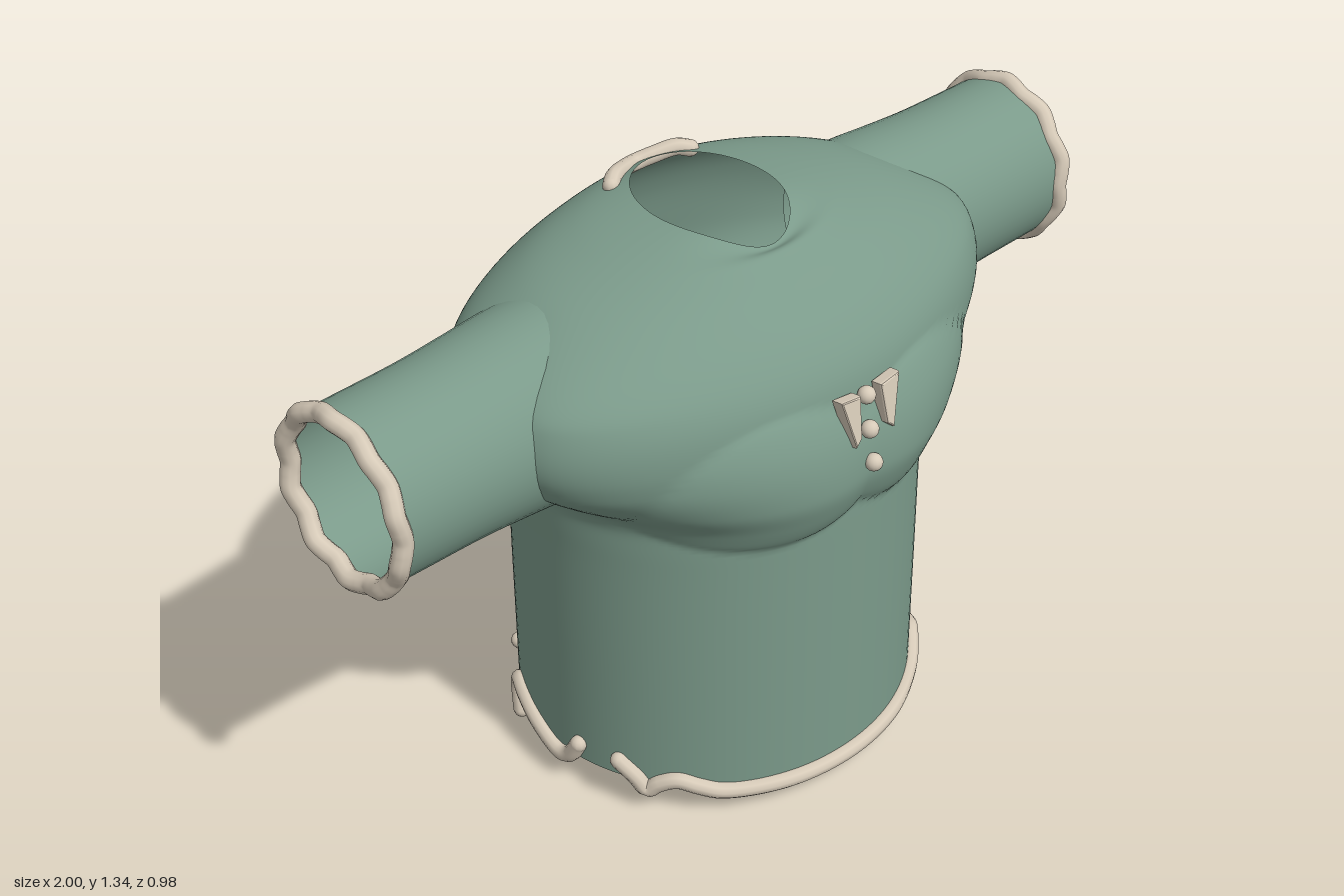
import * as THREE from 'three';

const green = new THREE.MeshStandardMaterial({ color: 0x7b9a8a, side: THREE.DoubleSide });
const cream = new THREE.MeshStandardMaterial({ color: 0xd6cab8 });
const V = (x, y, z) => new THREE.Vector3(x, y, z);
const { smoothstep } = THREE.MathUtils;

function add(parent, name, geometry, material) {
  const mesh = new THREE.Mesh(geometry, material);
  mesh.name = name;
  parent.add(mesh);
  return mesh;
}

// Surface of closed rings: point(angle, v), with an optional test that leaves quads out
function loft(around, along, point, skip = () => false) {
  const pos = [], index = [];
  for (let j = 0; j <= along; j++)
    for (let i = 0; i < around; i++) pos.push(...point((i / around) * Math.PI * 2, j / along).toArray());
  const at = (k) => V(pos[k * 3], pos[k * 3 + 1], pos[k * 3 + 2]);
  for (let j = 0; j < along; j++)
    for (let i = 0; i < around; i++) {
      const a = j * around + i, b = j * around + ((i + 1) % around), c = a + around, d = b + around;
      const mid = at(a).add(at(d)).multiplyScalar(0.5);
      if (!skip(mid)) index.push(a, b, d, a, d, c);
    }
  const g = new THREE.BufferGeometry();
  g.setAttribute('position', new THREE.Float32BufferAttribute(pos, 3));
  g.setIndex(index);
  g.computeVertexNormals();
  return g;
}

// Rounded cord through points, with round ends when open
function cord(parent, name, points, radius, closed = false) {
  const curve = new THREE.CatmullRomCurve3(points, closed);
  const group = new THREE.Group();
  group.name = name;
  add(group, 'cord', new THREE.TubeGeometry(curve, points.length * 8, radius, 10, closed), cream);
  if (!closed)
    for (const p of [points[0], points[points.length - 1]])
      add(group, 'cordEnd', new THREE.SphereGeometry(radius, 10, 8), cream).position.copy(p);
  parent.add(group);
}

// Torso sections: height, half width, front z, back z
const sections = [
  [0.065, 0.48, 0.43, -0.45], [0.4, 0.48, 0.43, -0.45], [0.7, 0.48, 0.43, -0.452],
  [0.8, 0.49, 0.43, -0.472], [0.88, 0.55, 0.435, -0.487], [1.0, 0.615, 0.43, -0.458],
  [1.1, 0.61, 0.412, -0.43], [1.18, 0.565, 0.362, -0.39], [1.25, 0.46, 0.285, -0.33],
  [1.298, 0.31, 0.21, -0.275], [1.335, 0.145, 0.165, -0.215],
];
const heights = new THREE.CatmullRomCurve3(sections.map((s) => V(s[0], 0, 0)), false, 'catmullrom');
const sizes = new THREE.CatmullRomCurve3(sections.map((s) => V(s[1], s[2], s[3])), false, 'catmullrom');

function torsoPoint(angle, v) {
  const size = sizes.getPoint(v);
  let y = heights.getPoint(v).x;
  const c = Math.cos(angle), corner = Math.abs(c) * (1 - Math.abs(c));
  // fuller corners where the chest and back meet the sleeves
  const shoulder = smoothstep(y, 0.8, 0.95) * (1 - smoothstep(y, 1.12, 1.27));
  const x = size.x * Math.sin(angle) * (1 + (c > 0 ? 0.5 : 0.28) * corner * shoulder);
  let z = (size.y + size.z) / 2 + ((size.y - size.z) / 2) * c;
  // neckline dips at the front, hem lifts at the sides
  y -= 0.04 * Math.max(0, c) ** 4 * smoothstep(v, 0.9, 1);
  y += 0.02 * Math.sin(angle) ** 2 * (1 - smoothstep(v, 0, 0.1));
  // bust, firmer below
  if (c > 0) {
    const dx = (Math.abs(x) - 0.2) / 0.27;
    const dy = (y - 0.87) / (y < 0.87 ? 0.135 : 0.2);
    z += 0.05 * Math.max(0, 1 - dx * dx - dy * dy) ** 0.8;
  }
  return V(x, y, z);
}

// Sleeve sections: x, half height, half depth
const sleeveSections = [
  [0.45, 0.222, 0.205], [0.53, 0.218, 0.202], [0.62, 0.21, 0.197],
  [0.74, 0.202, 0.191], [0.87, 0.2, 0.189], [0.98, 0.199, 0.188],
];
const sleeveCurve = new THREE.CatmullRomCurve3(sleeveSections.map((s) => V(...s)), false, 'catmullrom');
const armY = 1.028, armZ = -0.045;

// Hem trim pieces on the left side, as [angle from the front, height]
const hem = (t, y) => V(0.485 * Math.sin(t), y, -0.008 + 0.442 * Math.cos(t));
const mirrorX = (p) => V(-p.x, p.y, p.z);
const frontHem = [[0, 0.062], [0.35, 0.062], [0.68, 0.068], [0.8, 0.085], [0.9, 0.1], [0.99, 0.085],
  [1.05, 0.064], [1.11, 0.095], [1.2, 0.13]];
const sideHem = [[1.44, 0.13], [1.5, 0.085], [1.57, 0.072], [1.77, 0.1], [1.95, 0.122], [2.06, 0.125],
  [2.1, 0.1], [2.06, 0.03]];
const backHem = [[Math.PI, 0.06], [2.8, 0.06], [2.6, 0.062], [2.47, 0.075], [2.37, 0.12]];

// Half points mirrored into one continuous strip across the centre
const strip = (half) => {
  const pts = half.map((p) => hem(...p));
  return [...pts.slice(1).reverse().map(mirrorX), ...pts];
};

export function createModel() {
  const model = new THREE.Group();
  model.name = 'sweater';

  // Torso, open at hem, neck and armholes
  const armhole = (p) => Math.abs(p.x) > 0.3 &&
    ((p.y - armY) / 0.2) ** 2 + ((p.z - armZ) / 0.186) ** 2 < 1;
  add(model, 'torso', loft(128, 120, torsoPoint, armhole), green);

  for (const side of [1, -1]) {
    const label = side > 0 ? 'left' : 'right';

    // Sleeve
    const sleeve = loft(48, 24, (a, v) => {
      const s = sleeveCurve.getPoint(v);
      return V(side * s.x, armY + s.y * Math.cos(a), armZ + side * s.z * -Math.sin(a));
    });
    add(model, label + 'Sleeve', sleeve, green);

    // Gently wavy cuff trim
    const cuff = [];
    for (let i = 0; i < 40; i++) {
      const a = (i / 40) * Math.PI * 2, wave = Math.cos(a * 10);
      cuff.push(V(side * (0.972 + 0.005 * wave), armY + (0.193 + 0.002 * wave) * Math.cos(a),
        armZ + (0.183 + 0.002 * wave) * Math.sin(a)));
    }
    cord(model, label + 'CuffTrim', cuff, 0.022, true);

    // Side piece of hem trim
    const pts = sideHem.map((p) => hem(...p));
    cord(model, label + 'HemTrim', side > 0 ? pts : pts.map(mirrorX), 0.02);

    // Bow wing
    const wing = new THREE.Shape([[0.034, 0.045], [0.082, 0.052], [0.055, -0.058], [0.042, -0.045]]
      .map(([x, y]) => new THREE.Vector2(side * x, y)));
    const bow = add(model, label + 'BowWing', new THREE.ExtrudeGeometry(wing, {
      depth: 0.02, bevelSize: 0.004, bevelThickness: 0.006, bevelSegments: 2,
    }), cream);
    bow.position.set(0, 1.02, 0.438);
    bow.rotation.x = -0.17;
  }

  // Hem trim across front and back
  cord(model, 'frontHemTrim', strip(frontHem), 0.02);
  cord(model, 'backHemTrim', strip(backHem), 0.02);

  // Neck trim at the back of the collar
  cord(model, 'neckTrim', [V(-0.115, 1.322, -0.205), V(-0.09, 1.328, -0.222), V(-0.04, 1.318, -0.245),
    V(0, 1.31, -0.258), V(0.04, 1.318, -0.245), V(0.09, 1.328, -0.222), V(0.115, 1.322, -0.205)], 0.019);

  // Buttons down the chest
  for (const [y, z] of [[1.055, 0.442], [0.975, 0.455], [0.898, 0.47]])
    add(model, 'button', new THREE.SphereGeometry(0.02, 16, 12), cream).position.set(0, y, z);

  return model;
}
